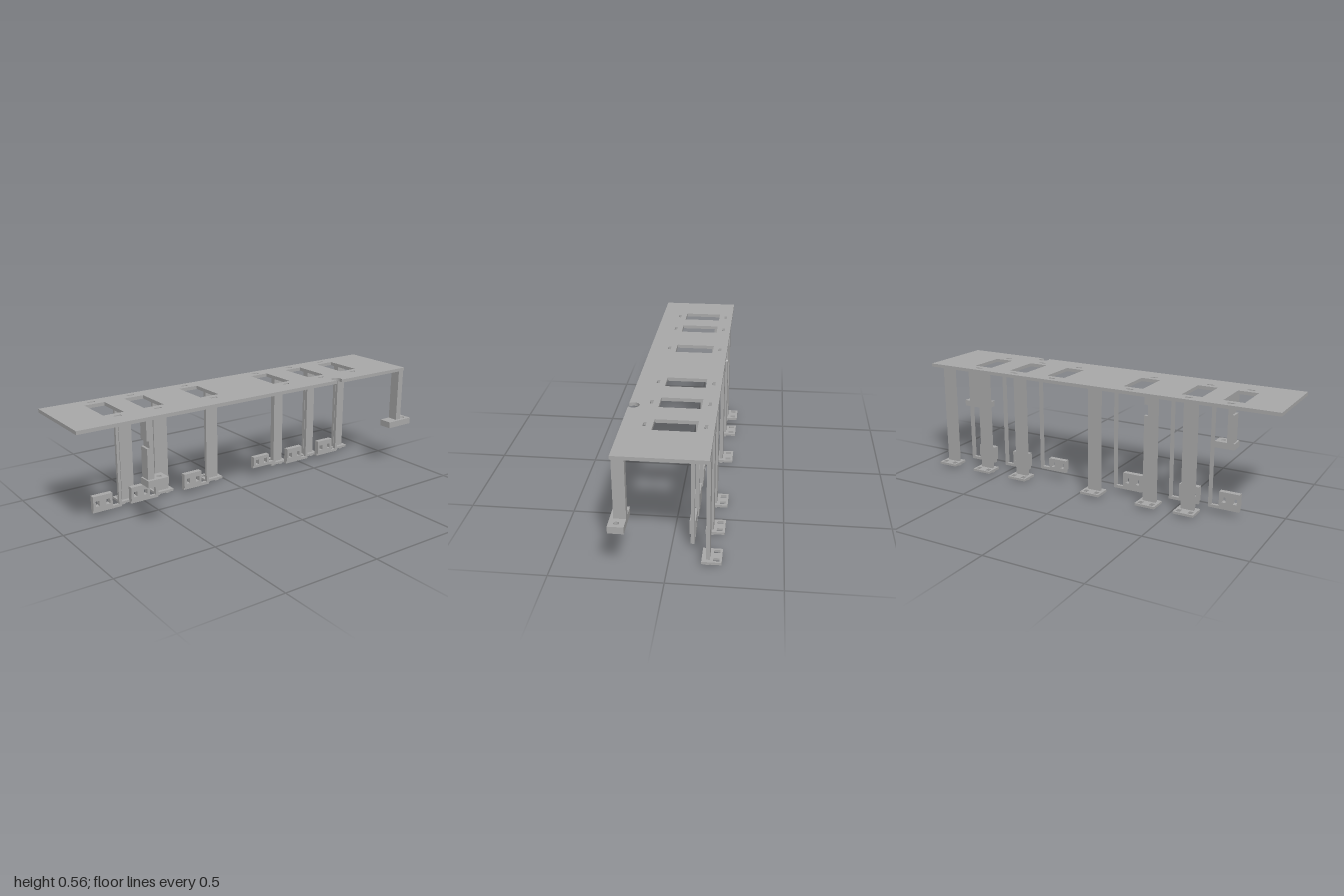
import * as THREE from 'three';

const steel = new THREE.MeshStandardMaterial({ color: 0xaaaaaa });
steel.name = 'grey steel';

const rectPath = (P, x0, y0, x1, y1) => {
  const p = new P();
  p.moveTo(x0, y0);
  p.lineTo(x1, y0);
  p.lineTo(x1, y1);
  p.lineTo(x0, y1);
  p.closePath();
  return p;
};
const hole = (cx, cy, w, h) => rectPath(THREE.Path, cx - w / 2, cy - h / 2, cx + w / 2, cy + h / 2);
const roundHole = (cx, cy, r) => {
  const p = new THREE.Path();
  p.absarc(cx, cy, r, 0, Math.PI * 2, false);
  return p;
};

function addMesh(parent, name, geometry) {
  const mesh = new THREE.Mesh(geometry, steel);
  mesh.name = name;
  parent.add(mesh);
  return mesh;
}

// Box given by its two extreme corners
function box(parent, name, x0, x1, y0, y1, z0, z1) {
  const m = addMesh(parent, name, new THREE.BoxGeometry(x1 - x0, y1 - y0, z1 - z0));
  m.position.set((x0 + x1) / 2, (y0 + y1) / 2, (z0 + z1) / 2);
  return m;
}

// Horizontal sheet: shape drawn in x and z, extruded down from the top height
function flat(parent, name, shape, top, thickness) {
  const g = new THREE.ExtrudeGeometry(shape, { depth: thickness, bevelEnabled: false, curveSegments: 24 });
  g.rotateX(Math.PI / 2);
  addMesh(parent, name, g).position.y = top;
}

// Upright sheet: shape drawn in x and y, extruded forward from z0 to z1
function upright(parent, name, shape, z0, z1) {
  const g = new THREE.ExtrudeGeometry(shape, { depth: z1 - z0, bevelEnabled: false });
  addMesh(parent, name, g).position.z = z0;
}

const TOP = 0.56, UNDER = 0.543;
const WINDOWS = [-0.757, -0.553, -0.249, 0.19, 0.42, 0.644];
const LEGS = [-0.579, -0.379, -0.074, 0.364, 0.592, 0.82];

function tablePlate(group) {
  const s = new THREE.Shape();
  s.moveTo(-1, -0.18);
  s.lineTo(0.935, -0.18);
  s.lineTo(0.935, 0.223);
  s.lineTo(0.475, 0.223);
  // round cable notch in the front edge
  s.absarc(0.46, 0.201, 0.027, 0.951, Math.PI - 0.951, true);
  s.lineTo(-1, 0.223);
  s.closePath();
  for (const x of WINDOWS) {
    s.holes.push(hole(x, -0.0105, 0.102, 0.193), hole(x, 0.123, 0.037, 0.014), hole(x, -0.143, 0.037, 0.014));
  }
  flat(group, 'topPlate', s, TOP, TOP - UNDER);
}

// Thin hanger beside each window, with a two-hole plate at the bottom
function hanger(group, x, low) {
  const g = new THREE.Group();
  g.name = 'hanger';
  const back = -0.104, front = -0.087, barTop = low + 0.014;
  box(g, 'hangerArm', x + 0.09, x + 0.104, low, UNDER, back, front);
  box(g, 'hangerBar', x - 0.051, x + 0.09, low, barTop, back, front);
  const plate = rectPath(THREE.Shape, x - 0.051, barTop, x + 0.051, 0.115);
  for (const side of [-1, 1]) plate.holes.push(hole(x + side * 0.028, 0.076 + (low - 0.028) * 0.35, 0.02, 0.027));
  upright(g, 'hangerPlate', plate, back, -0.077);
  group.add(g);
}

// Rear leg with a drilled foot and two tabs below it
function rearLeg(group, x, notched) {
  const g = new THREE.Group();
  g.name = 'rearLeg';
  const l = x - 0.034, r = x + 0.034;
  const s = new THREE.Shape();
  s.moveTo(l, 0.025);
  s.lineTo(r, 0.025);
  if (notched) {
    s.lineTo(r, 0.453);
    s.lineTo(r - 0.014, 0.453);
    s.quadraticCurveTo(r - 0.02, 0.453, r - 0.02, 0.46);
    s.lineTo(r - 0.02, 0.5);
    s.quadraticCurveTo(r - 0.02, 0.507, r - 0.014, 0.507);
    s.lineTo(r, 0.507);
  }
  s.lineTo(r, UNDER);
  s.lineTo(l, UNDER);
  s.closePath();
  upright(g, 'legStrip', s, -0.18, -0.163);

  const foot = rectPath(THREE.Shape, x - 0.052, -0.232, x + 0.052, -0.144);
  for (const side of [-1, 1]) {
    foot.holes.push(hole(x + side * 0.03, -0.208, 0.022, 0.027));
    const c = x + side * 0.028;
    box(g, 'footTab', c - 0.01, c + 0.01, 0, 0.013, -0.18, -0.163);
  }
  flat(g, 'legFoot', foot, 0.025, 0.012);
  group.add(g);
}

// Short front post ending in a drilled mounting block
function frontPost(group, x0, x1, b0, b1, holeX, notched) {
  const g = new THREE.Group();
  g.name = 'frontPost';
  const s = new THREE.Shape();
  s.moveTo(x0, 0.265);
  s.lineTo(x1, 0.265);
  s.lineTo(x1, UNDER);
  s.lineTo(x0, UNDER);
  if (notched) {
    s.lineTo(x0, 0.447);
    s.lineTo(x0 + 0.012, 0.447);
    s.lineTo(x0 + 0.012, 0.412);
    s.lineTo(x0, 0.412);
  }
  s.closePath();
  upright(g, 'postColumn', s, 0.163, 0.217);
  const block = rectPath(THREE.Shape, b0, 0.163, b1, 0.233);
  block.holes.push(roundHole(holeX, 0.199, 0.012));
  flat(g, 'mountingBlock', block, 0.265, 0.033);
  group.add(g);
}

export function createModel() {
  const group = new THREE.Group();
  group.name = 'slottedTable';
  tablePlate(group);
  WINDOWS.forEach((x, i) => hanger(group, x, i === 3 ? 0.05 : 0.028));
  LEGS.forEach((x, i) => rearLeg(group, x, i === 1));
  frontPost(group, -0.668, -0.635, -0.676, -0.571, -0.602, true);
  frontPost(group, 0.902, 0.935, 0.838, 0.997, 0.969, false);
  return group;
}
